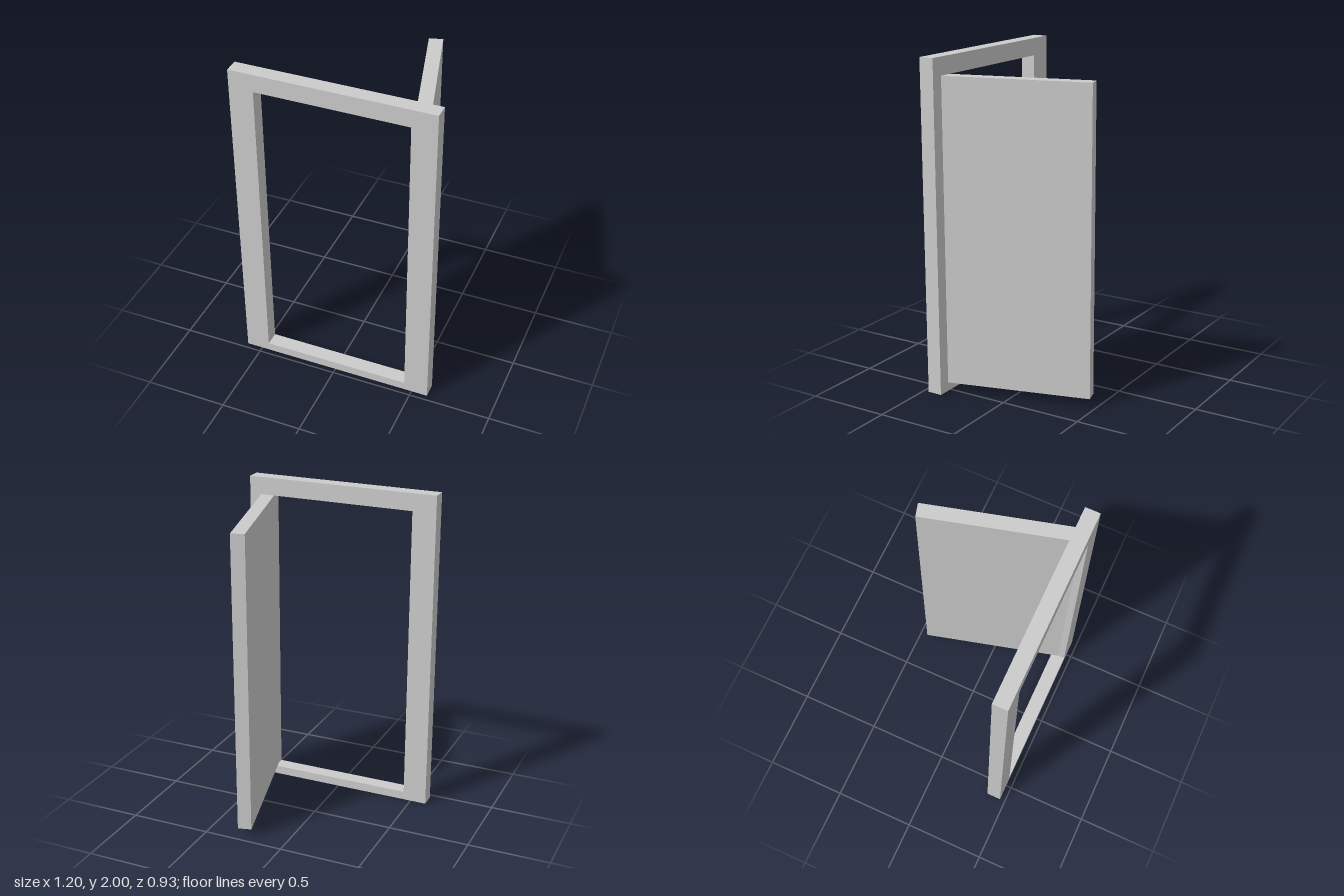
import * as THREE from 'three';

export function createModel() {
  const group = new THREE.Group();
  const material = new THREE.MeshStandardMaterial({ color: 0xcccccc, flatShading: true });

  // Door frame: rectangular slab with the doorway cut out
  const outline = new THREE.Shape([[-0.6, 0], [0.6, 0], [0.6, 2], [-0.6, 2]]
    .map(([x, y]) => new THREE.Vector2(x, y)));
  outline.holes.push(new THREE.Path([[-0.453, 0.053], [-0.453, 1.893], [0.453, 1.893], [0.453, 0.053]]
    .map(([x, y]) => new THREE.Vector2(x, y))));
  const frameGeometry = new THREE.ExtrudeGeometry(outline, { depth: 0.09, bevelEnabled: false });
  const frame = new THREE.Mesh(frameGeometry, material);
  frame.name = 'doorFrame';
  frame.position.z = 0.376;
  group.add(frame);

  // Door leaf: swung open about its hinge edge on the left jamb
  const width = 0.9, height = 1.84, thickness = 0.083;
  const leafGeometry = new THREE.BoxGeometry(thickness, height, width);
  leafGeometry.translate(thickness / 2, height / 2, -width / 2);
  const leaf = new THREE.Mesh(leafGeometry, material);
  leaf.name = 'doorLeaf';
  leaf.position.set(0.452, 0.053, 0.424);
  leaf.rotation.y = THREE.MathUtils.degToRad(15);
  group.add(leaf);

  return group;
}
